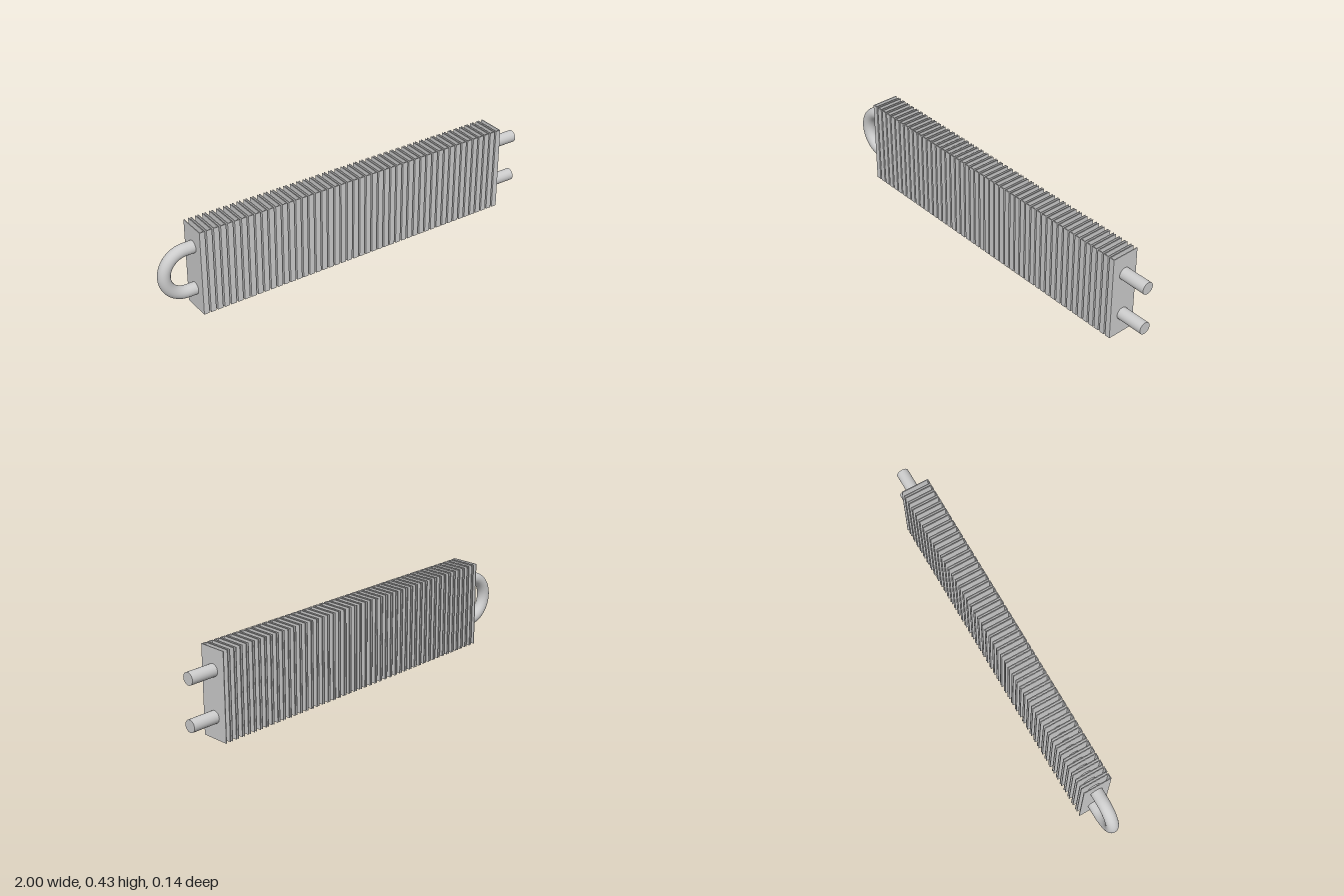
import * as THREE from 'three';

const HEIGHT = 0.425, HALF_DEPTH = 0.07;
const FIN_COUNT = 48, FIN_WIDTH = 0.027, SHEET = 0.004;
const FIRST_X = -0.8065, LAST_X = 0.8485;
const PIPE_R = 0.03, LOW_Y = 0.105, HIGH_Y = 0.322;

export function createModel() {
  const model = new THREE.Group();
  model.name = 'finnedHeater';
  const material = new THREE.MeshStandardMaterial({ color: 0xcccccc });
  const add = (name, geometry, parent = model) => {
    const mesh = new THREE.Mesh(geometry, material);
    mesh.name = name;
    parent.add(mesh);
    return mesh;
  };

  // Sheet-metal fin: a U-channel with its web at the front, open at the back
  const w = FIN_WIDTH / 2, d = HALF_DEPTH, t = SHEET;
  const profile = new THREE.Shape([
    [-w, -d], [w, -d], [w, d], [w - t, d],
    [w - t, -d + t], [-w + t, -d + t], [-w + t, d], [-w, d],
  ].map(([x, y]) => new THREE.Vector2(x, y)));
  const finGeometry = new THREE.ExtrudeGeometry(profile, { depth: HEIGHT, bevelEnabled: false });
  finGeometry.rotateX(-Math.PI / 2);

  // Row of fins along the pipes
  const fins = new THREE.Group();
  fins.name = 'fins';
  model.add(fins);
  for (let i = 0; i < FIN_COUNT; i++) {
    const fin = add('fin', finGeometry, fins);
    fin.position.x = THREE.MathUtils.lerp(FIRST_X, LAST_X, i / (FIN_COUNT - 1));
  }

  // Return bend joining the two pipes
  const bendR = (HIGH_Y - LOW_Y) / 2;
  const bendX = -1 + PIPE_R + bendR;
  const bend = add('returnBend', new THREE.TorusGeometry(bendR, PIPE_R, 24, 32, Math.PI));
  bend.rotation.z = Math.PI / 2;
  bend.position.set(bendX, (LOW_Y + HIGH_Y) / 2, 0);

  // Straight pipes through the fins
  const length = 1 - bendX;
  const pipeGeometry = new THREE.CylinderGeometry(PIPE_R, PIPE_R, length, 24);
  pipeGeometry.rotateZ(Math.PI / 2);
  for (const [name, y] of [['lowerPipe', LOW_Y], ['upperPipe', HIGH_Y]]) {
    add(name, pipeGeometry).position.set(bendX + length / 2, y, 0);
  }
  return model;
}
